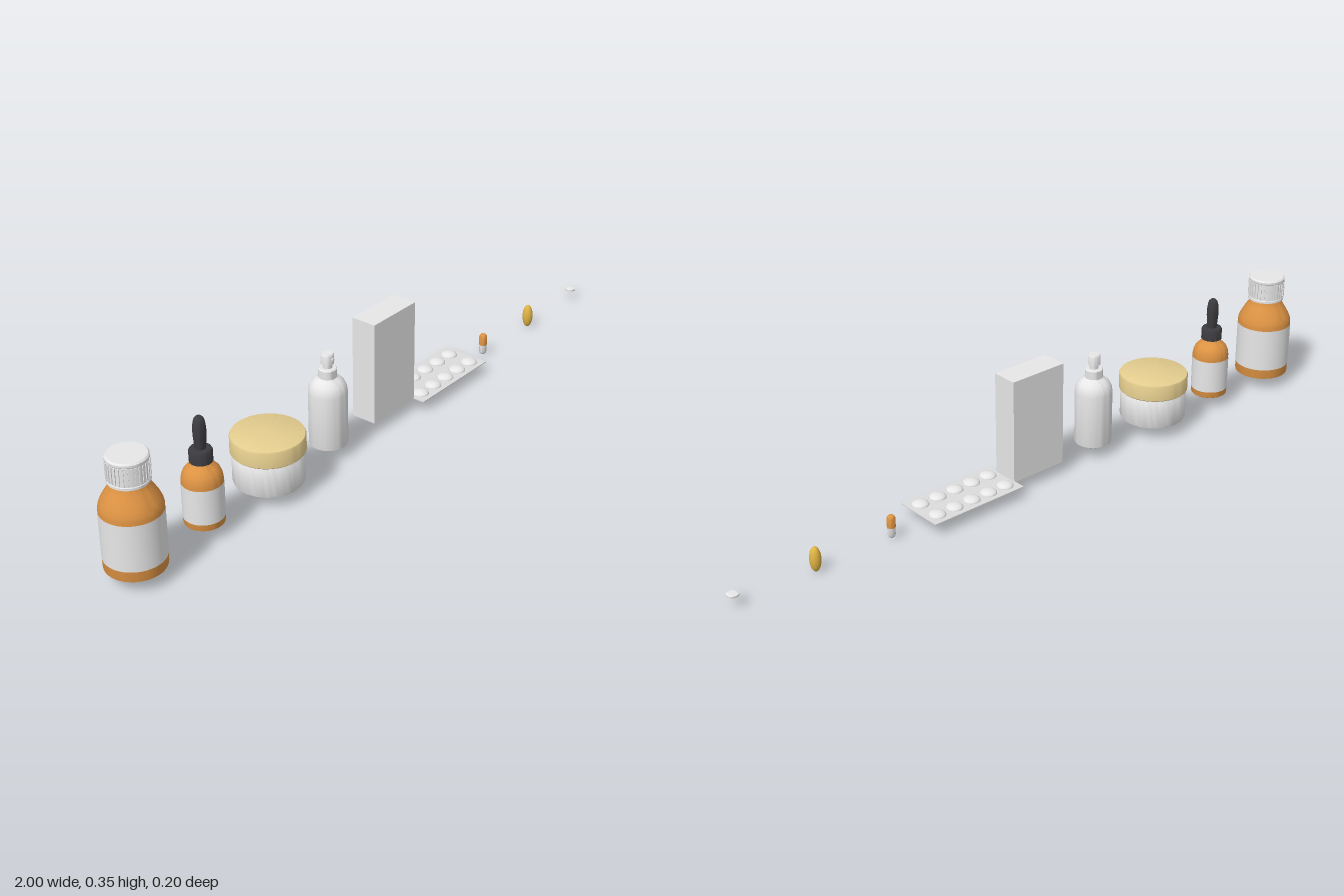
import * as THREE from 'three';
import { toCreasedNormals } from 'three/addons/utils/BufferGeometryUtils.js';

const paint = (name, color) => {
  const m = new THREE.MeshStandardMaterial({ color });
  m.name = name;
  return m;
};

export function createModel() {
  const white = paint('white', 0xededed);
  const foil = paint('foil grey', 0xdcdcdc);
  const amber = paint('amber', 0xdc9243);
  const tan = paint('tan', 0xe4cd8e);
  const gold = paint('gold', 0xe0b445);
  const dark = paint('charcoal', 0x3c3c40);
  const model = new THREE.Group();
  const BASE = 0.036;

  const group = (name, x, y = BASE) => {
    const g = new THREE.Group();
    g.name = name;
    g.position.set(x, y, 0);
    model.add(g);
    return g;
  };
  const add = (parent, name, geo, mat, x = 0, y = 0, z = 0) => {
    const m = new THREE.Mesh(geo, mat);
    m.name = name;
    m.position.set(x, y, z);
    parent.add(m);
    return m;
  };
  // Turned part from [radius, height] pairs, bottom to top
  const turn = (parent, name, mat, pts, seg = 48) => {
    const geo = new THREE.LatheGeometry(pts.map(p => new THREE.Vector2(...p)), seg);
    return add(parent, name, toCreasedNormals(geo, 0.6), mat);
  };
  // Open label sleeve just proud of the body
  const label = (parent, r, y0, y1) =>
    add(parent, 'label', new THREE.CylinderGeometry(r, r, y1 - y0, 48, 1, true), white, 0, (y0 + y1) / 2);

  // Pill bottle with ribbed cap
  const pills = group('pillBottle', -0.921);
  turn(pills, 'body', amber, [[0, 0], [0.074, 0], [0.078, 0.002], [0.079, 0.007], [0.079, 0.168],
    [0.077, 0.178], [0.072, 0.19], [0.063, 0.206], [0.053, 0.222], [0.046, 0.234], [0.043, 0.246], [0, 0.246]]);
  label(pills, 0.0798, 0.031, 0.16);
  turn(pills, 'cap', white, [[0, 0.24], [0.053, 0.24], [0.053, 0.246], [0.0515, 0.248], [0.0515, 0.299],
    [0.053, 0.301], [0.053, 0.307], [0.049, 0.311], [0, 0.311]]);
  const rib = new THREE.BoxGeometry(0.004, 0.048, 0.005);
  for (let i = 0; i < 32; i++) {
    const a = i / 32 * Math.PI * 2;
    add(pills, 'capRib', rib, white, Math.sin(a) * 0.0515, 0.274, Math.cos(a) * 0.0515).rotation.y = a;
  }

  // Dropper bottle
  const dropper = group('dropperBottle', -0.686);
  turn(dropper, 'body', amber, [[0, 0], [0.049, 0], [0.052, 0.002], [0.053, 0.006], [0.053, 0.125],
    [0.051, 0.138], [0.046, 0.15], [0.037, 0.16], [0.027, 0.167], [0.023, 0.172], [0.023, 0.18], [0, 0.18]]);
  label(dropper, 0.0538, 0.02, 0.118);
  turn(dropper, 'collar', dark, [[0, 0.176], [0.03, 0.176], [0.03, 0.206], [0.027, 0.211], [0.018, 0.212], [0, 0.212]], 32);
  turn(dropper, 'bulb', dark, [[0.014, 0.21], [0.015, 0.225], [0.017, 0.25], [0.017, 0.27], [0.015, 0.285],
    [0.012, 0.295], [0.007, 0.3], [0, 0.302]], 32);

  // Cream jar
  const jar = group('creamJar', -0.446);
  turn(jar, 'body', white, [[0, 0], [0.086, 0], [0.092, 0.003], [0.095, 0.01], [0.095, 0.083], [0.092, 0.089],
    [0.086, 0.092], [0, 0.092]], 64);
  turn(jar, 'lid', tan, [[0, 0.091], [0.096, 0.091], [0.099, 0.094], [0.099, 0.136], [0.097, 0.14],
    [0.093, 0.1415], [0, 0.1415]], 64);

  // Spray bottle
  const spray = group('sprayBottle', -0.208);
  turn(spray, 'body', white, [[0, 0], [0.049, 0], [0.052, 0.002], [0.053, 0.006], [0.053, 0.158], [0.051, 0.172],
    [0.045, 0.185], [0.035, 0.195], [0.025, 0.201], [0.022, 0.206], [0, 0.206]]);
  turn(spray, 'collar', white, [[0, 0.202], [0.025, 0.202], [0.025, 0.226], [0.022, 0.229], [0, 0.229]], 32);
  turn(spray, 'nozzle', white, [[0.013, 0.228], [0.013, 0.24], [0.0175, 0.241], [0.0175, 0.267], [0.015, 0.271],
    [0, 0.271]], 32);
  const outlet = add(spray, 'outlet', new THREE.CylinderGeometry(0.004, 0.004, 0.006, 16), white, 0, 0.256, 0.018);
  outlet.rotation.x = Math.PI / 2;

  // Carton
  const carton = group('carton', 0.03);
  add(carton, 'cartonBox', new THREE.BoxGeometry(0.177, 0.302, 0.075), white, 0, 0.151);

  // Blister sheet with two rows of domes
  const blister = group('blisterPack', 0.267);
  add(blister, 'sheet', new THREE.BoxGeometry(0.302, 0.003, 0.147), foil, 0, 0.0015);
  const dome = new THREE.SphereGeometry(0.024, 28, 8, 0, Math.PI * 2, 0, Math.PI / 2);
  dome.scale(1, 0.46, 1);
  for (let i = -2; i <= 2; i++)
    for (const z of [-0.036, 0.036]) add(blister, 'dome', dome, white, i * 0.058, 0.003, z);

  // Two-part capsule, softgel and tablet
  const capsule = group('capsule', 0.506);
  const shell = (name, mat, r, end, start) => {
    const pts = [];
    for (let i = 0; i <= 8; i++) {
      const a = i / 8 * Math.PI / 2;
      pts.push([r * Math.sin(a), -end + r * (1 - Math.cos(a))]);
    }
    return turn(capsule, name, mat, [...pts, [r, start], [0, start]], 24);
  };
  shell('capsuleBottom', white, 0.0108, 0.033, 0.005);
  shell('capsuleTop', amber, 0.0118, 0.035, 0.001).rotation.x = Math.PI;

  const softgel = group('softgel', 0.743);
  add(softgel, 'gel', new THREE.SphereGeometry(0.0155, 32, 20), gold).scale.y = 0.036 / 0.0155;

  const tablet = group('tablet', 0.984);
  turn(tablet, 'pill', white, [[0, -0.006], [0.008, -0.0054], [0.013, -0.0042], [0.016, -0.0028], [0.016, 0.0028],
    [0.013, 0.0042], [0.008, 0.0054], [0, 0.006]], 32);

  return model;
}
